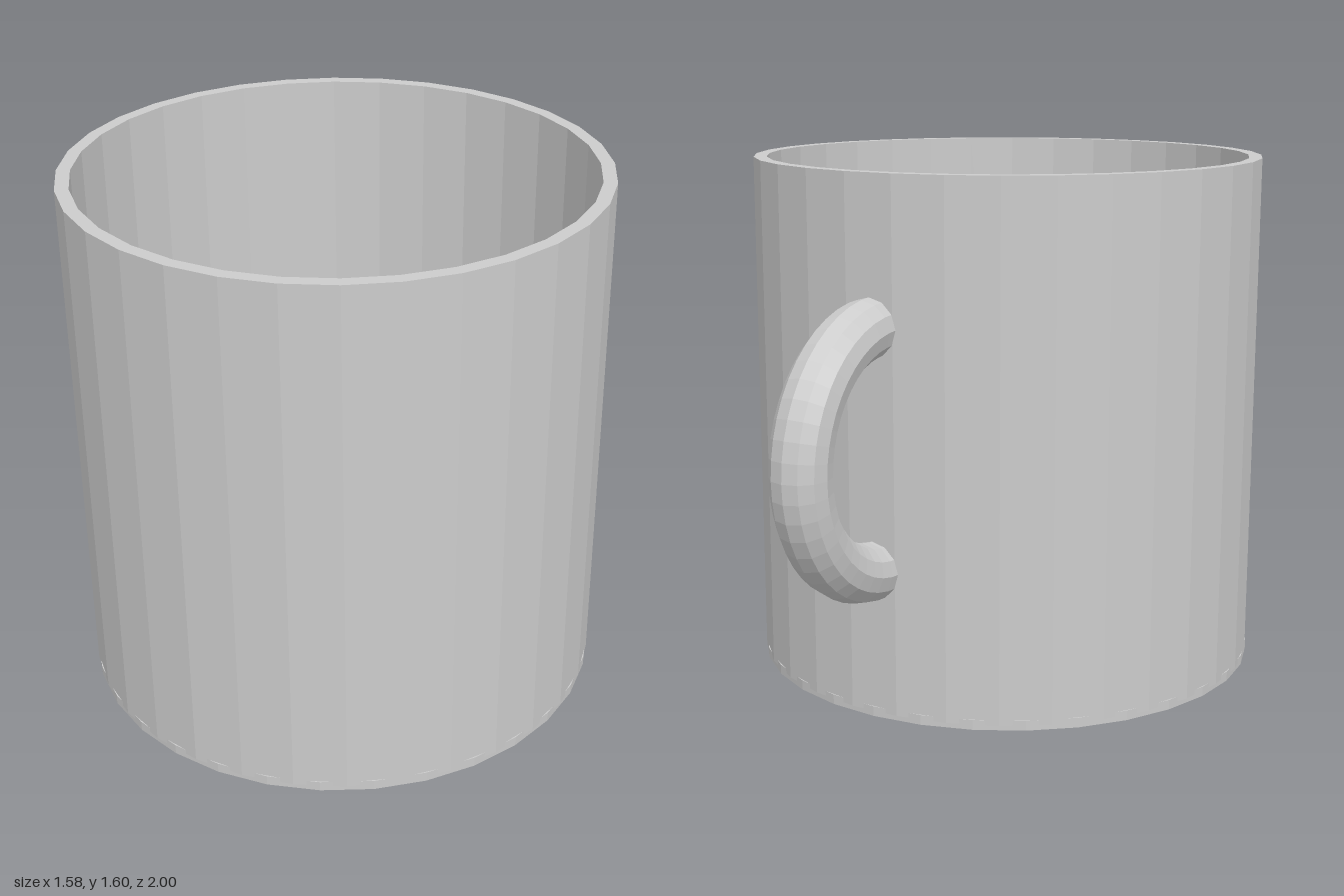
import * as THREE from 'three';

const RADIUS = 0.79;       // outer radius of the mug
const INNER = 0.75;        // inner radius
const CENTER_Z = 0.21;     // mug axis, offset to balance the handle
const BASE_HEIGHT = 0.03;
const WALL_BOTTOM = 0.015;
const WALL_TOP = 1.595;
const SIDES = 32;

export function createModel() {
  const mug = new THREE.Group();
  mug.name = 'mug';
  const material = new THREE.MeshStandardMaterial({ color: 0xcccccc, flatShading: true });

  function add(name, geometry, y, z) {
    const mesh = new THREE.Mesh(geometry, material);
    mesh.name = name;
    mesh.position.set(0, y, z);
    mug.add(mesh);
  }

  // Hollow wall: a closed ring profile turned around the axis
  const profile = [
    [RADIUS, WALL_BOTTOM], [RADIUS, WALL_TOP],
    [INNER, WALL_TOP], [INNER, WALL_BOTTOM], [RADIUS, WALL_BOTTOM],
  ].map(([r, y]) => new THREE.Vector2(r, y));
  add('wall', new THREE.LatheGeometry(profile, SIDES, Math.PI / SIDES), 0, CENTER_Z);

  // Thin floor disc that closes the bottom
  add('base', new THREE.CylinderGeometry(RADIUS, RADIUS, BASE_HEIGHT, SIDES), BASE_HEIGHT / 2, CENTER_Z);

  // Half-ring handle at the back, its ends buried in the wall
  const handle = new THREE.TorusGeometry(0.357, 0.087, 12, 24, Math.PI);
  handle.rotateZ(Math.PI / 2).rotateY(-Math.PI / 2);
  add('handle', handle, 0.805, -0.556);

  return mug;
}
